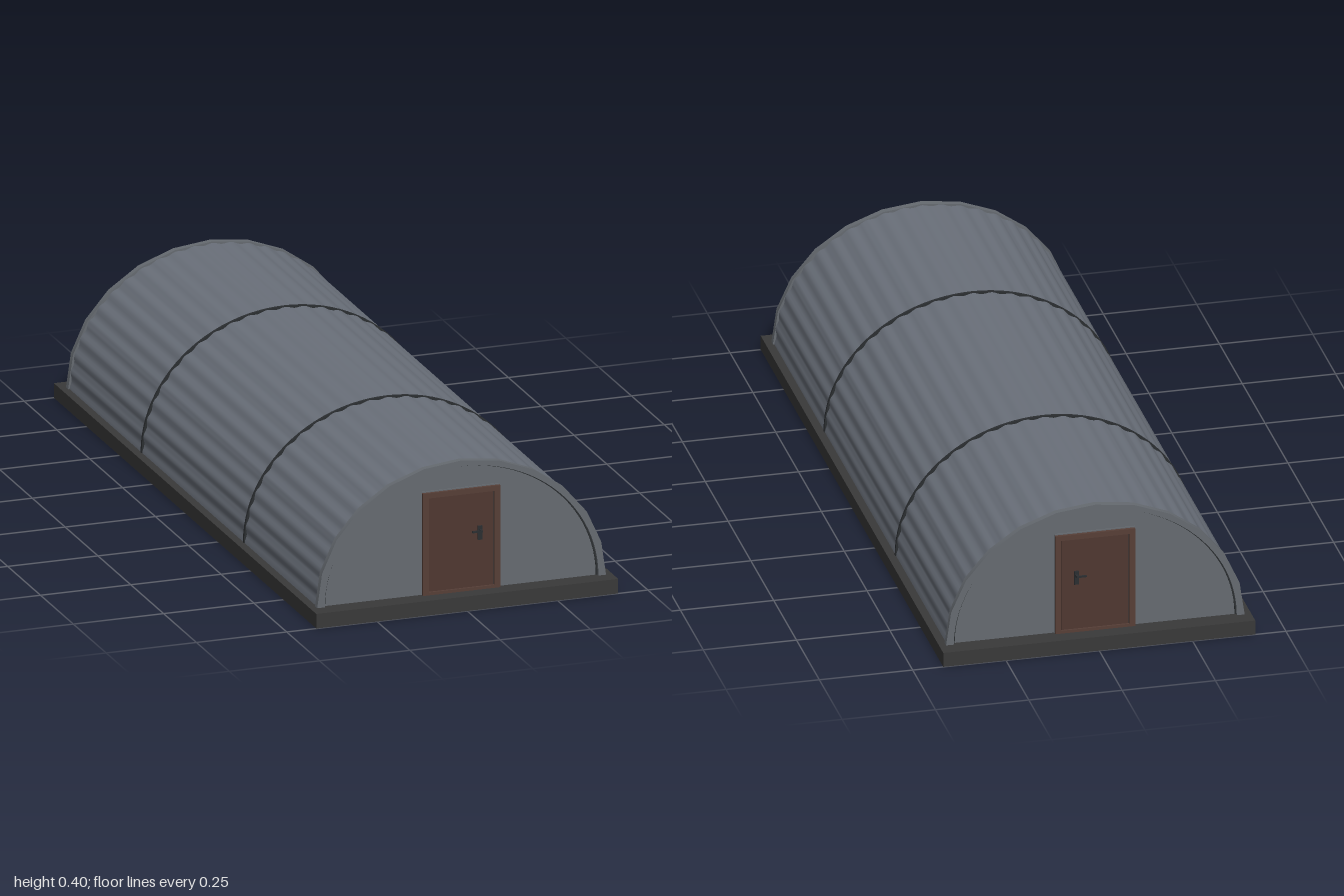
import * as THREE from 'three';
import { toCreasedNormals } from 'three/addons/utils/BufferGeometryUtils.js';

const mat = (name, color) => new THREE.MeshStandardMaterial({ name, color });
const BASE = 0.04;

// Points along a half ellipse from right foot to left foot, with optional ripple
function arch(rx, ry, segments, waves = 0, depth = 0) {
  const points = [];
  for (let i = 0; i <= segments; i++) {
    const a = (i / segments) * Math.PI;
    const r = depth * (Math.cos(waves * 2 * a) - 1) / 2;
    points.push(new THREE.Vector2((rx + r) * Math.cos(a), BASE + (ry + r) * Math.sin(a)));
  }
  return points;
}

// Half ring (or solid half ellipse when inner is missing) extruded along z
function archSolid(outer, inner, z0, z1) {
  const shape = new THREE.Shape(inner ? [...outer, ...inner.slice().reverse()] : outer);
  const geo = new THREE.ExtrudeGeometry(shape, { depth: z1 - z0, bevelEnabled: false });
  geo.translate(0, 0, z0);
  return toCreasedNormals(geo, 0.6);
}

export function createModel() {
  const steel = mat('corrugated steel', 0x6a707a);
  const wallGrey = mat('wall grey', 0x666b71);
  const concrete = mat('dark base', 0x393939);
  const brown = mat('door brown', 0x4f3831);
  const frameBrown = mat('frame brown', 0x573f37);
  const dark = mat('dark metal', 0x2b2e31);

  const model = new THREE.Group();
  model.name = 'archedShelter';

  const add = (parent, name, geometry, material, x = 0, y = 0, z = 0) => {
    const mesh = new THREE.Mesh(geometry, material);
    mesh.name = name;
    mesh.position.set(x, y, z);
    parent.add(mesh);
    return mesh;
  };
  const box = (parent, name, material, w, h, d, x, y, z) =>
    add(parent, name, new THREE.BoxGeometry(w, h, d), material, x, y, z);

  // Foundation slab
  box(model, 'foundation', concrete, 0.836, BASE, 2, 0, BASE / 2, 0);

  // Corrugated roof shell
  add(model, 'roof',
    archSolid(arch(0.396, 0.356, 144, 24, 0.005), arch(0.38, 0.34, 144), -0.945, 0.945), steel);

  // Dark seams where the roof sections meet
  for (const z of [-0.39, 0.39]) {
    add(model, 'roofSeam',
      archSolid(arch(0.398, 0.358, 48), arch(0.385, 0.345, 48), z - 0.004, z + 0.004), dark);
  }

  // Both ends: the back is turned round, with its handle on the same side in x
  for (const s of [1, -1]) {
    const end = new THREE.Group();
    end.name = s > 0 ? 'frontEnd' : 'backEnd';
    end.rotation.y = s > 0 ? 0 : Math.PI;
    model.add(end);

    add(end, 'endWall', archSolid(arch(0.382, 0.345, 48), null, 0.925, 0.947), wallGrey);
    add(end, 'endRim', archSolid(arch(0.4, 0.36, 12), arch(0.379, 0.344, 48), 0.94, 0.957), wallGrey);
    add(end, 'rimGap', archSolid(arch(0.3795, 0.3445, 48), arch(0.375, 0.341, 48), 0.94, 0.949), dark);

    const door = new THREE.Group();
    door.name = 'doorway';
    end.add(door);

    // Frame: thin outer border, two posts and a lintel
    box(door, 'frameBorder', wallGrey, 0.216, 0.283, 0.01, 0, 0.1815, 0.945);
    for (const x of [-0.099, 0.099]) {
      box(door, 'framePost', frameBrown, 0.016, 0.28, 0.014, x, 0.18, 0.951);
    }
    box(door, 'frameLintel', frameBrown, 0.214, 0.014, 0.014, 0, 0.313, 0.951);
    box(door, 'threshold', frameBrown, 0.182, 0.008, 0.014, 0, 0.044, 0.951);

    // Door leaf with a dark gap behind it
    box(door, 'doorGap', dark, 0.184, 0.262, 0.006, 0, 0.177, 0.949);
    box(door, 'doorLeaf', brown, 0.179, 0.256, 0.01, 0, 0.177, 0.95);

    // Handle plate and lever
    box(door, 'handlePlate', dark, 0.012, 0.038, 0.005, s * 0.051, 0.196, 0.957);
    box(door, 'handleStem', dark, 0.006, 0.006, 0.012, s * 0.051, 0.203, 0.963);
    box(door, 'handleLever', dark, 0.028, 0.005, 0.004, s * 0.04, 0.203, 0.968);
  }

  return model;
}
